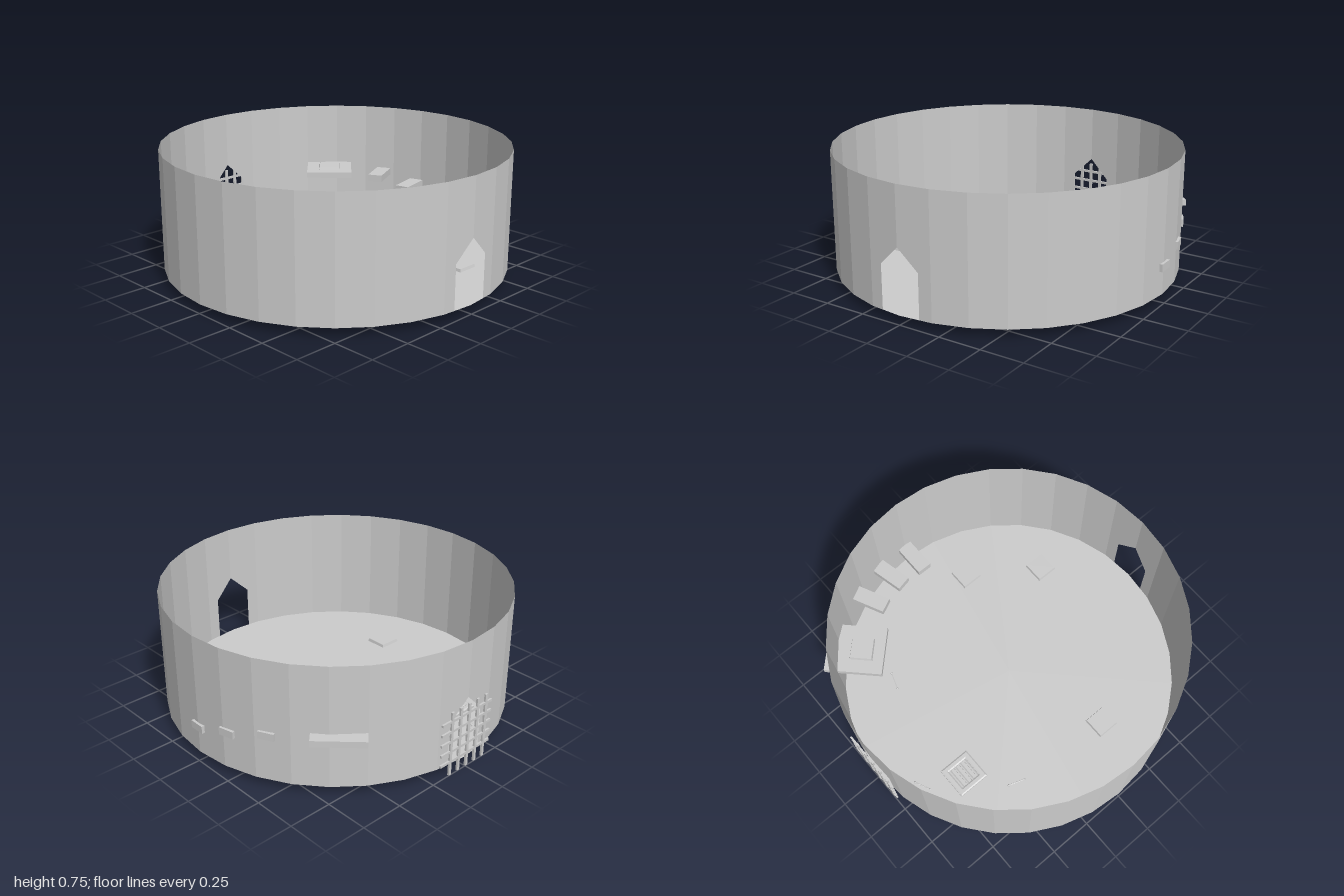
import * as THREE from 'three';
import { mergeGeometries } from 'three/addons/utils/BufferGeometryUtils.js';

const SIDES = 32, R = 0.991, CX = 0.004, CZ = 0.004;
const FLOOR = 0.05, RIM = 0.75;
const material = new THREE.MeshStandardMaterial({ color: 0xcccccc, flatShading: true, side: THREE.DoubleSide });

function add(parent, name, geometry, x = 0, y = 0, z = 0, turn = 0) {
  const mesh = new THREE.Mesh(geometry, material);
  mesh.name = name;
  mesh.position.set(x, y, z);
  mesh.rotation.y = turn;
  parent.add(mesh);
  return mesh;
}

// Thin faceted wall; the panels meeting at +x and -x each carry half a pointed doorway
function wallGeometry() {
  const step = (Math.PI * 2) / SIDES;
  const w = 2 * R * Math.sin(step / 2);
  const plain = [[0, FLOOR], [w, FLOOR], [w, RIM], [0, RIM]];
  const door = [[0, 0.42], [0.12, 0.305], [0.12, FLOOR], [w, FLOOR], [w, RIM], [0, RIM]];
  const panels = [];
  for (let i = 0; i < SIDES; i++) {
    const half = i % (SIDES / 2);
    let points = plain;
    if (half === 0) points = door;
    if (half === SIDES / 2 - 1) points = door.map(([u, y]) => [w - u, y]);
    // each panel runs clockwise seen from above so that its front looks outward
    const shape = new THREE.Shape(points.map(([u, y]) => new THREE.Vector2(w - u, y)));
    const a = (i + 1) * step, mid = (i + 0.5) * step;
    const along = new THREE.Vector3(Math.sin(mid), 0, -Math.cos(mid));
    const out = new THREE.Vector3(Math.cos(mid), 0, Math.sin(mid));
    const place = new THREE.Matrix4()
      .makeBasis(along, new THREE.Vector3(0, 1, 0), out)
      .setPosition(CX + R * Math.cos(a), 0, CZ + R * Math.sin(a));
    panels.push(new THREE.ShapeGeometry(shape).applyMatrix4(place));
  }
  return mergeGeometries(panels);
}

// Square slab with slightly sloping sides
function slabGeometry(bottom, top, height) {
  const g = new THREE.CylinderGeometry(top * Math.SQRT1_2, bottom * Math.SQRT1_2, height, 4);
  return g.rotateY(Math.PI / 4);
}

// Grid of bars hanging outside the doorway at -x
function portcullis() {
  const group = new THREE.Group();
  group.name = 'portcullis';
  for (let k = -2; k <= 2; k++) {
    add(group, 'verticalBar', new THREE.BoxGeometry(0.011, 0.385, 0.017), -0.9945, 0.1925, 0.01 + k * 0.0655);
    add(group, 'crossBar', new THREE.BoxGeometry(0.011, 0.014, 0.385), -0.9945, 0.208 + k * 0.062, -0.005);
  }
  return group;
}

// Square frame with bars set into the floor
function floorGrate() {
  const group = new THREE.Group();
  group.name = 'floorGrate';
  const square = (s, Type) => new Type([[-s, -s], [s, -s], [s, s], [-s, s]].map(([x, y]) => new THREE.Vector2(x, y)));
  const frame = square(0.089, THREE.Shape);
  frame.holes.push(square(0.07, THREE.Path));
  const g = new THREE.ExtrudeGeometry(frame, {
    depth: 0.014, bevelEnabled: true, bevelSegments: 1, bevelSize: 0.008, bevelThickness: 0.005,
  });
  add(group, 'grateFrame', g.rotateX(-Math.PI / 2), 0, 0.005, 0);
  for (let k = 0; k < 4; k++) {
    const bar = new THREE.CylinderGeometry(0.009, 0.009, 0.15, 6).rotateX(Math.PI / 2);
    add(group, 'grateBar', bar, -0.054 + k * 0.036, 0.012, 0);
  }
  group.position.set(-0.61, 0.045, 0.321);
  return group;
}

// Thin shaft with a knob at each end
function bone(x, z, dx, dz) {
  const group = new THREE.Group();
  group.name = 'bone';
  const length = Math.hypot(dx, dz);
  add(group, 'boneShaft', new THREE.CylinderGeometry(0.003, 0.003, length, 6).rotateX(Math.PI / 2));
  for (const s of [-1, 1]) {
    add(group, 'boneKnob', new THREE.SphereGeometry(0.007, 6, 5), 0, 0, (s * length) / 2);
  }
  group.position.set(x, 0.055, z);
  group.rotation.y = Math.atan2(dx, dz);
  return group;
}

export function createModel() {
  const model = new THREE.Group();
  model.name = 'arena';

  add(model, 'wall', wallGeometry());
  add(model, 'floor', new THREE.CircleGeometry(R, SIDES).rotateX(-Math.PI / 2), CX, FLOOR, CZ);

  // Steps rising along the wall towards the platform: x, y, z, turn in degrees
  const steps = [[0, 0.213, -0.893, 0], [-0.195, 0.268, -0.87, 13], [-0.395, 0.32, -0.797, 25.5]];
  for (const [x, y, z, turn] of steps) {
    add(model, 'step', new THREE.BoxGeometry(0.09, 0.043, 0.214), x, y, z, THREE.MathUtils.degToRad(turn));
  }
  add(model, 'platform', new THREE.BoxGeometry(0.287, 0.036, 0.335), -0.655, 0.35, -0.587, Math.PI / 4);

  // Pressure plates: one on the platform, three on the floor
  const plate = slabGeometry(0.134, 0.124, 0.02);
  add(model, 'pressurePlate', plate, -0.628, 0.376, -0.561, Math.PI / 4);
  for (const [x, z] of [[0.213, -0.655], [0.603, -0.39], [0.213, 0.61]]) {
    add(model, 'pressurePlate', plate, x, 0.057, z);
  }

  model.add(portcullis(), floorGrate());
  model.add(bone(-0.567, -0.393, -0.032, 0.096));
  model.add(bone(-0.84, 0.22, 0.042, 0.088));
  model.add(bone(-0.408, 0.56, 0.095, 0.032));
  return model;
}
